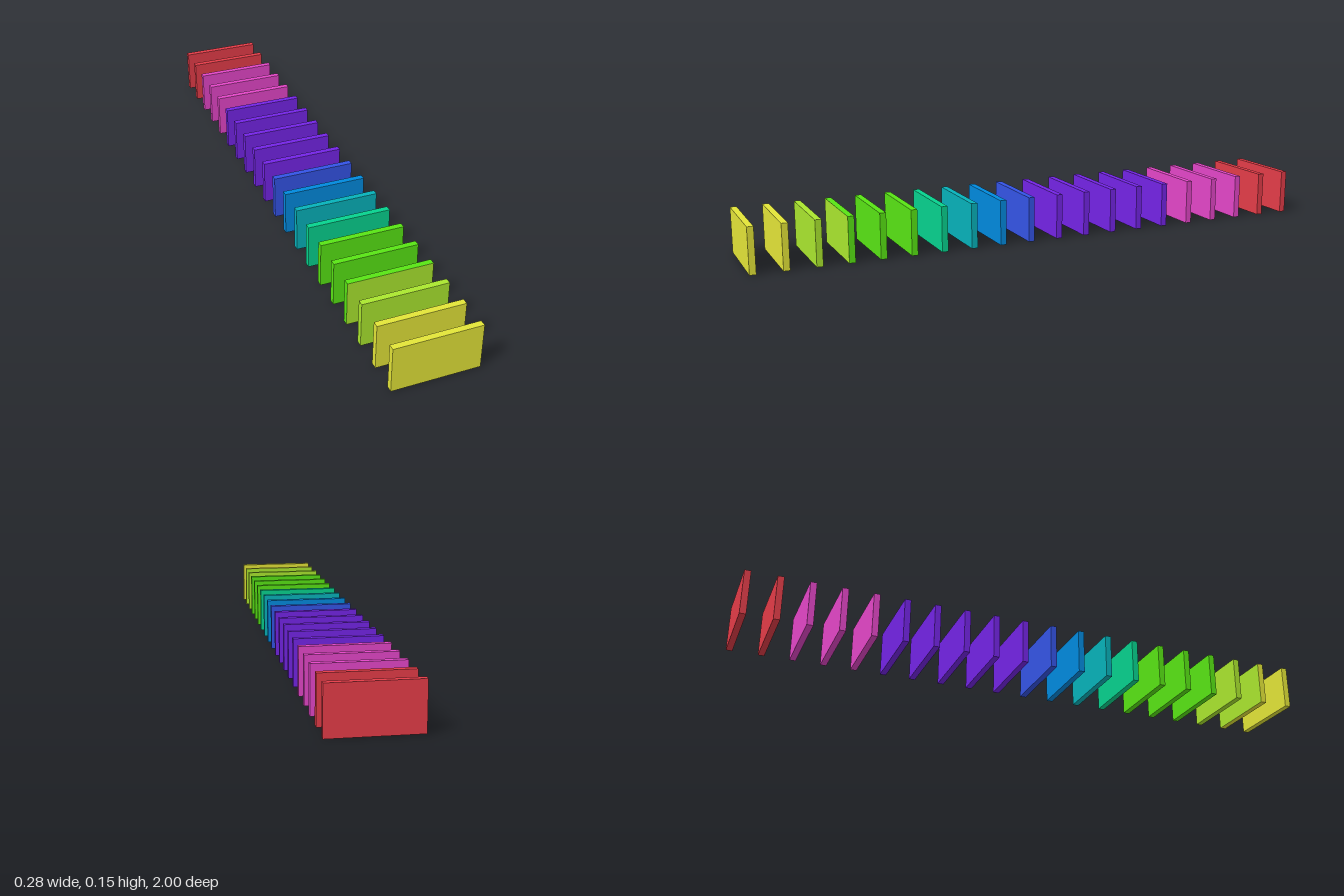
import * as THREE from 'three';

const COLORS = {
  yellow: 0xe2e438, lime: 0xaae62e, green: 0x58e414, jade: 0x06d28e, teal: 0x06b2ba,
  azure: 0x008ade, royalBlue: 0x3454e6, violet: 0x7424e6, pink: 0xe446c8, red: 0xe43c48,
};

// Colour runs from the front slab to the back slab
const RUNS = [
  ['yellow', 2], ['lime', 1], ['green', 3], ['jade', 1], ['teal', 1],
  ['azure', 1], ['royalBlue', 1], ['violet', 5], ['pink', 3], ['red', 2],
];

// Lime faces on the slabs either side of the lime one (face 4 = front, 5 = back)
const LIME_FACES = { yellowSlab2: 5, greenSlab1: 4 };

const WIDTH = 0.284, HEIGHT = 0.153, DEPTH = 0.021;

export function createModel() {
  const model = new THREE.Group();
  model.name = 'slabRow';

  const materials = {};
  for (const [name, color] of Object.entries(COLORS)) {
    materials[name] = new THREE.MeshStandardMaterial({ color });
    materials[name].name = name;
  }

  // One upright slab shape shared by the whole row
  const slab = new THREE.BoxGeometry(WIDTH, HEIGHT, DEPTH);
  slab.translate(0, HEIGHT / 2, 0);

  const count = RUNS.reduce((sum, [, n]) => sum + n, 0);
  const step = (2 - DEPTH) / (count - 1);
  let index = 0;

  for (const [color, n] of RUNS) {
    for (let i = 1; i <= n; i++, index++) {
      const name = `${color}Slab${i}`;
      const faces = Array(6).fill(materials[color]);
      if (name in LIME_FACES) faces[LIME_FACES[name]] = materials.lime;
      const mesh = new THREE.Mesh(slab, faces);
      mesh.name = name;
      mesh.position.z = 1 - DEPTH / 2 - index * step;
      model.add(mesh);
    }
  }
  return model;
}
